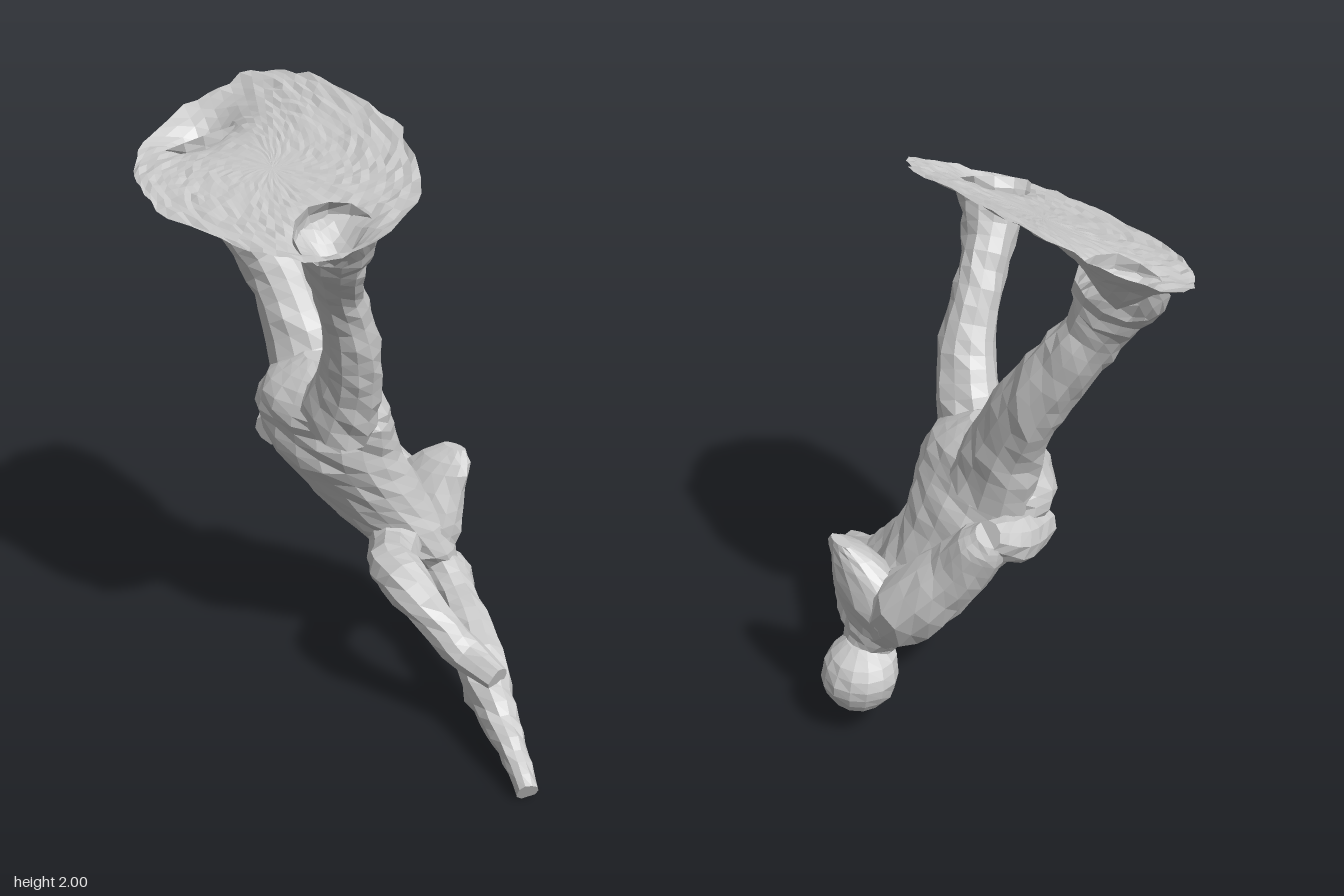
import * as THREE from 'three';

const material = new THREE.MeshStandardMaterial({ color: 0xcccccc, flatShading: true, side: THREE.DoubleSide });

// Repeatable noise from -1 to 1
const noise = (a, b) => {
  const s = Math.sin(a * 127.1 + b * 311.7) * 43758.5453;
  return (s - Math.floor(s)) * 2 - 1;
};

// Faceted surface from rows of points; rows close round on themselves
function skin(name, rows) {
  const n = rows[0].length, pos = [], index = [];
  rows.forEach(row => row.forEach(p => pos.push(p.x, p.y, p.z)));
  for (let i = 0; i < rows.length - 1; i++) for (let j = 0; j < n; j++) {
    const a = i * n + j, b = i * n + (j + 1) % n;
    index.push(a, b, a + n, b, b + n, a + n);
  }
  const geometry = new THREE.BufferGeometry();
  geometry.setAttribute('position', new THREE.Float32BufferAttribute(pos, 3));
  geometry.setIndex(index);
  geometry.computeVertexNormals();
  const mesh = new THREE.Mesh(geometry, material);
  mesh.name = name;
  return mesh;
}

// Rough limb through oval sections [x, y, z, rx, rz]; level keeps the sections
// horizontal, open leaves the first end without a cap
function limb(name, sections, { steps = 18, sides = 12, rough = 0.07, level = false, open = false } = {}) {
  const points = sections.map(s => new THREE.Vector3(s[0], s[1], s[2]));
  const path = new THREE.CatmullRomCurve3(points, false, 'centripetal');
  const size = new THREE.CatmullRomCurve3(sections.map((s, i) => new THREE.Vector3(s[3], s[4] ?? s[3], i)), false, 'centripetal');
  const overall = points.at(-1).clone().sub(points[0]).normalize();
  const ref = Math.abs(overall.y) > 0.7 ? new THREE.Vector3(0, 0, 1) : new THREE.Vector3(0, 1, 0);
  const rows = [];
  for (let i = open ? 0 : -1; i <= steps + 1; i++) {
    const t = THREE.MathUtils.clamp(i / steps, 0, 1);
    const c = path.getPoint(t), r = size.getPoint(t), dir = path.getTangent(t);
    const side = new THREE.Vector3(1, 0, 0), depth = new THREE.Vector3(0, 0, 1);
    if (!level) {
      side.crossVectors(ref, dir).normalize();
      depth.crossVectors(dir, side).normalize();
    }
    const cap = i < 0 || i > steps ? 0.02 : 1;
    const row = [];
    for (let j = 0; j < sides; j++) {
      const a = j / sides * Math.PI * 2;
      const k = cap * (1 + rough * noise(i + sections[0][0] * 9, j));
      row.push(c.clone().addScaledVector(side, Math.cos(a) * r.x * k).addScaledVector(depth, Math.sin(a) * r.y * k));
    }
    rows.push(row);
  }
  return skin(name, rows);
}

// Thin tilted dish, squarish oval with ragged rim and a hollow sinking into each foot
function dish() {
  const rows = [], sides = 60, rings = 18;
  const square = v => Math.sign(v) * Math.abs(v) ** 0.82;
  const hollows = [[-0.71, 0.07, 0.05, 0.03], [-0.71, 0.06, 0.09, 0.006], [0.19, 0.3, 0.1, 0.007]];
  for (let i = 0; i <= rings; i++) {
    const row = [];
    for (let j = 0; j < sides; j++) {
      const a = j / sides * Math.PI * 2, u = square(Math.cos(a)), v = square(Math.sin(a));
      const r = i / rings + (i === rings ? 0.035 * noise(Math.floor(j / 2), 5) : 0);
      const x = -0.25 + r * (0.605 * u + 0.01 * v);
      const d = r * (0.08 * u + 0.345 * v * (1 - 0.06 * u));
      let y = 1.805 - 0.42 * d + 0.28 * d * d - 0.03 * (x + 0.25);
      for (const [hx, hz, deep, wide] of hollows)
        y -= deep * Math.exp(-((x - hx) ** 2 + (d + 0.16 - hz) ** 2) / wide);
      row.push(new THREE.Vector3(x, y + 0.008 * r * noise(i, j), d + 0.16));
    }
    rows.push(row);
  }
  return skin('dish', rows);
}

export function createModel() {
  const group = new THREE.Group();
  group.add(dish());

  // Legs, from the raised feet down to the hips
  group.add(limb('rightLeg', [
    [-0.72, 1.79, 0.07, 0.13, 0.14], [-0.67, 1.68, 0.06, 0.09, 0.12], [-0.60, 1.55, 0.01, 0.09, 0.11],
    [-0.50, 1.38, -0.05, 0.105, 0.105], [-0.40, 1.2, -0.06, 0.12, 0.11], [-0.32, 1.0, -0.06, 0.15, 0.13]], { open: true }));
  group.add(limb('leftLeg', [
    [0.20, 1.73, 0.31, 0.13, 0.13], [0.15, 1.62, 0.27, 0.1, 0.09], [0.09, 1.48, 0.19, 0.08, 0.08],
    [0.05, 1.3, 0.11, 0.095, 0.09], [0, 1.15, 0.07, 0.115, 0.1], [-0.08, 0.98, 0.05, 0.14, 0.12]], { open: true }));

  // Torso, hanging from the hips to the neck
  group.add(limb('torso', [
    [-0.21, 1.15, 0, 0.07, 0.05], [-0.21, 1.09, 0, 0.19, 0.13], [-0.21, 1.0, 0, 0.26, 0.18], [-0.21, 0.92, -0.02, 0.26, 0.19],
    [-0.20, 0.82, -0.05, 0.24, 0.2], [-0.16, 0.68, -0.13, 0.21, 0.18], [-0.12, 0.55, -0.22, 0.2, 0.17],
    [-0.06, 0.43, -0.28, 0.17, 0.13], [-0.03, 0.36, -0.32, 0.11, 0.1], [-0.03, 0.29, -0.36, 0.08, 0.08]], { steps: 22, sides: 18, rough: 0.04, level: true }));

  // Ridge of the upper back
  group.add(limb('upperBack', [
    [-0.01, 0.755, -0.43, 0.05, 0.02], [-0.03, 0.71, -0.4, 0.11, 0.06], [-0.09, 0.57, -0.35, 0.18, 0.11],
    [-0.08, 0.46, -0.31, 0.18, 0.12], [-0.04, 0.37, -0.29, 0.12, 0.09]], { steps: 10, sides: 14, level: true }));

  // Right arm, folded back against the hip
  group.add(limb('rightUpperArm', [
    [-0.1, 0.45, -0.32, 0.1], [-0.24, 0.6, -0.32, 0.12], [-0.36, 0.76, -0.23, 0.1], [-0.45, 0.89, -0.2, 0.08], [-0.48, 0.94, -0.19, 0.05]], { steps: 12 }));
  group.add(limb('rightForearm', [
    [-0.48, 0.94, -0.2, 0.05], [-0.46, 0.88, -0.08, 0.08], [-0.39, 0.84, 0.06, 0.07]], { steps: 7, sides: 10 }));

  // Left arm, bent forward to meet the long outstretched arm
  group.add(limb('leftArm', [
    [-0.1, 0.5, -0.26, 0.11], [0.03, 0.49, -0.1, 0.085], [0.13, 0.5, 0, 0.08], [0.21, 0.495, 0.03, 0.08],
    [0.32, 0.41, 0.02, 0.065], [0.42, 0.31, -0.02, 0.06], [0.58, 0.26, -0.03, 0.045]], { steps: 16, sides: 10, rough: 0.1 }));
  group.add(limb('outstretchedArm', [
    [0, 0.37, -0.32, 0.085], [0.15, 0.32, -0.27, 0.065], [0.32, 0.27, -0.18, 0.07],
    [0.47, 0.205, -0.08, 0.085], [0.62, 0.145, 0, 0.06], [0.74, 0.1, 0.06, 0.045], [0.85, 0.04, 0.12, 0.035]], { steps: 20, sides: 10, rough: 0.13 }));

  // Head, crown down
  group.add(limb('head', [
    [-0.04, 0.355, -0.37, 0.06, 0.06], [-0.05, 0.31, -0.385, 0.12, 0.11], [-0.05, 0.23, -0.4, 0.138, 0.122],
    [-0.04, 0.155, -0.4, 0.11, 0.1], [-0.03, 0.105, -0.41, 0.045, 0.045]], { steps: 9, sides: 14, rough: 0.03, level: true }));

  return group;
}
